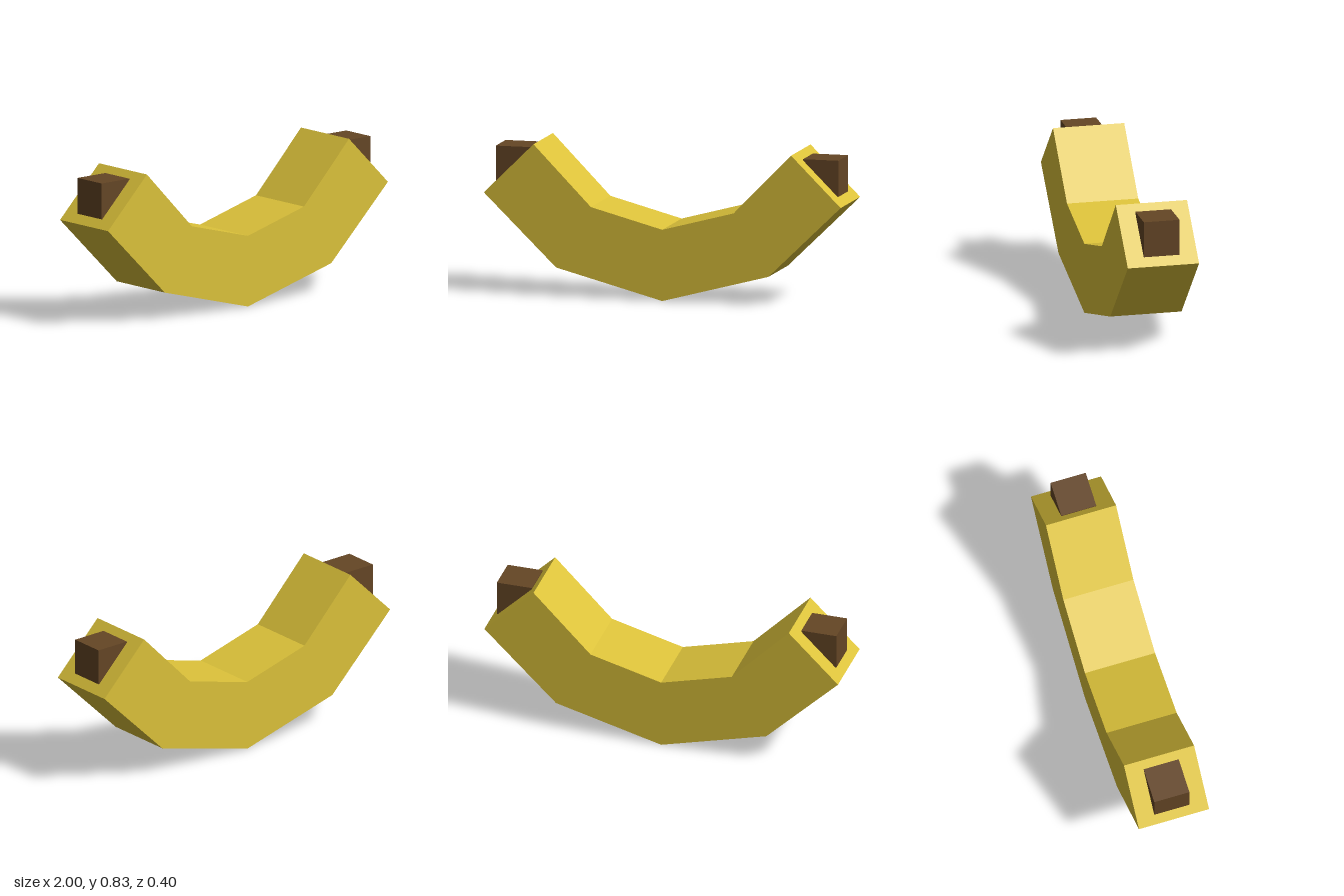
import * as THREE from 'three';

export function createModel() {
  const yellow = new THREE.MeshStandardMaterial({ color: 0xdcc23a });
  yellow.name = 'banana yellow';
  const brown = new THREE.MeshStandardMaterial({ color: 0x654625 });
  brown.name = 'stem brown';

  const model = new THREE.Group();
  model.name = 'banana';

  // Curved body: half outline from bottom centre to top centre, then mirrored
  const half = [[0, 0.005], [0.595, 0.163], [1, 0.557], [0.722, 0.832], [0.4, 0.502], [0, 0.395]];
  const mirrored = half.slice(1, -1).reverse().map(([x, y]) => [-x, y]);
  const outline = new THREE.Shape([...half, ...mirrored].map(([x, y]) => new THREE.Vector2(x, y - 0.005)));
  const bodyGeometry = new THREE.ExtrudeGeometry(outline, { depth: 0.396, bevelEnabled: false });
  bodyGeometry.translate(0, 0, -0.198);
  const body = new THREE.Mesh(bodyGeometry, yellow);
  body.name = 'body';
  model.add(body);

  // Square stubs, half sunk into the slanted ends
  for (const side of [-1, 1]) {
    const stub = new THREE.Mesh(new THREE.BoxGeometry(0.198, 0.198, 0.198), brown);
    stub.name = side > 0 ? 'leftStem' : 'rightStem';
    stub.position.set(side * 0.861, 0.695, 0);
    model.add(stub);
  }

  return model;
}
